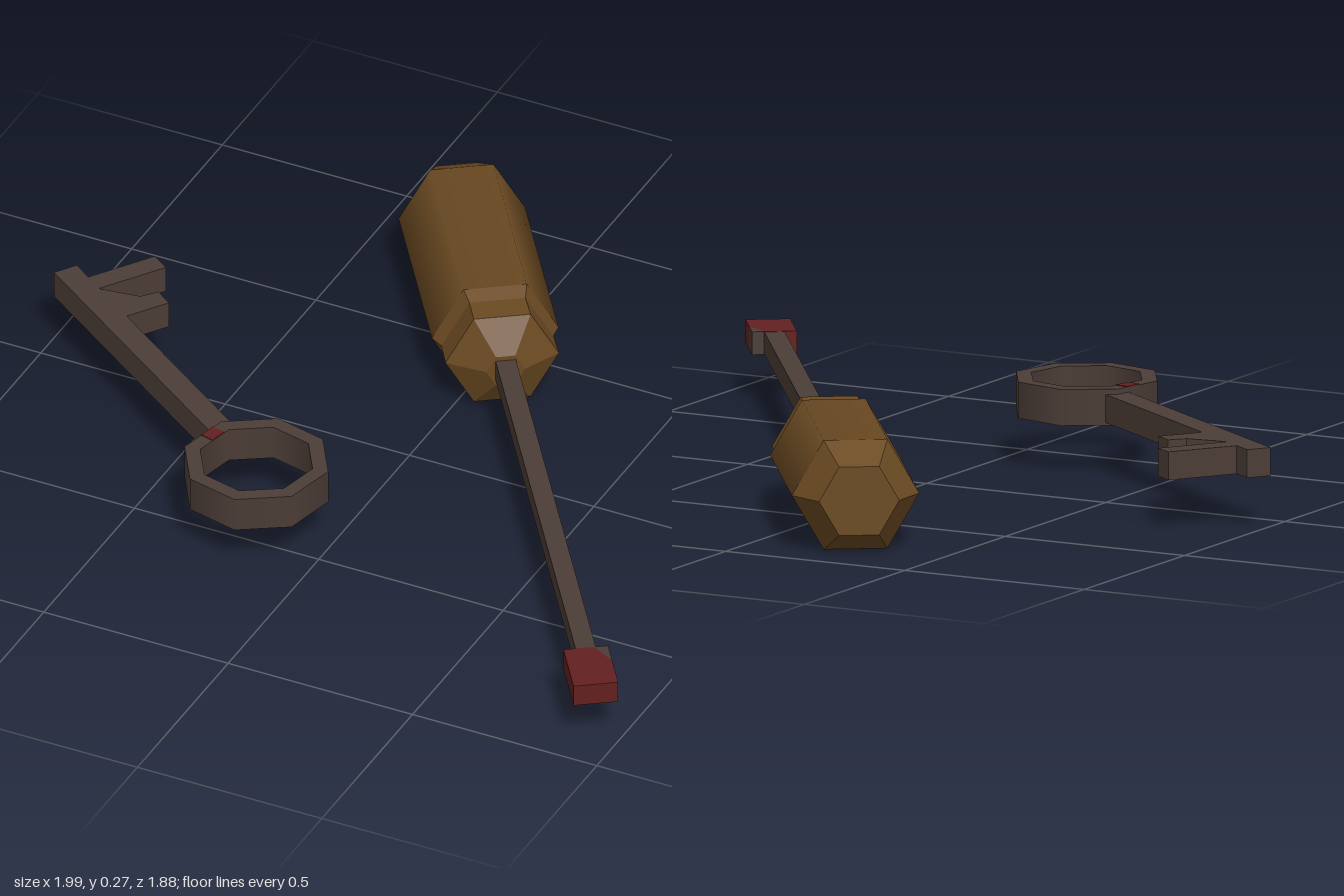
import * as THREE from 'three';

const material = (name, hex, extra = {}) => {
  const m = new THREE.MeshStandardMaterial({ color: hex, ...extra });
  m.name = name;
  return m;
};

export function createModel() {
  const wood = material('handle brown', 0x6b4a22);
  const metal = material('dark metal', 0x4c3d37, { side: THREE.DoubleSide });
  const red = material('dark red', 0x632020);

  const add = (parent, name, geometry, mat) => {
    const mesh = new THREE.Mesh(geometry, mat);
    mesh.name = name;
    parent.add(mesh);
    return mesh;
  };

  // Hexagonal section along z, with corners pointing sideways
  const hexSection = (z0, r0, z1, r1) => new THREE.CylinderGeometry(r1, r0, z1 - z0, 6, 1, true, Math.PI / 2)
    .rotateX(Math.PI / 2).translate(0, 0, (z0 + z1) / 2);
  const hexCap = (z, r, back) => {
    const g = new THREE.CircleGeometry(r, 6);
    if (back) g.rotateY(Math.PI);
    return g.translate(0, 0, z);
  };

  // Flat plate outlined by [x, z] points, centred on y = 0
  const plate = (points, thickness) => new THREE.ExtrudeGeometry(
    new THREE.Shape(points.map(([x, z]) => new THREE.Vector2(x, z))),
    { depth: thickness, bevelEnabled: false },
  ).rotateX(Math.PI / 2).translate(0, thickness / 2, 0);

  const model = new THREE.Group();
  model.name = 'screwdriverAndKey';

  // Screwdriver, running along local z from the back of its handle
  const driver = new THREE.Group();
  driver.name = 'screwdriver';
  driver.position.set(-0.31, 0.14, -0.888);
  driver.rotation.y = 0.613;
  model.add(driver);

  // Handle: smooth grip with faceted ends
  const rings = [[0, 0.098], [0.087, 0.156], [0.61, 0.156], [0.645, 0.138], [0.72, 0.14], [0.775, 0.048]];
  const names = ['handleBackTaper', 'handleGrip', 'handleNeck', 'handleCollar', 'handleFrontTaper'];
  names.forEach((name, i) => {
    let g = hexSection(...rings[i], ...rings[i + 1]);
    if (name !== 'handleGrip') {
      g = g.toNonIndexed();
      g.computeVertexNormals();
    }
    add(driver, name, g, wood);
  });
  add(driver, 'handleBackCap', hexCap(0, 0.098, true), wood);
  add(driver, 'handleFrontCap', hexCap(0.775, 0.048, false), wood);

  // Blade with a red head, one corner of which is bare metal
  add(driver, 'blade', new THREE.BoxGeometry(0.05, 0.055, 1.3).translate(0, 0.002, 1.4), metal);
  add(driver, 'bladeHead', plate([[-0.055, 2.03], [0.02, 2.03], [0.055, 2.095], [0.055, 2.19], [-0.055, 2.19]], 0.057), red)
    .position.y = 0.002;
  add(driver, 'bladeHeadCorner', plate([[0.02, 2.03], [0.055, 2.03], [0.055, 2.095]], 0.057), metal)
    .position.y = 0.002;

  // Key shank and teeth, running along local z from the tip
  const key = new THREE.Group();
  key.name = 'key';
  key.position.set(-0.981, 0.165, -0.096);
  key.rotation.y = 0.963;
  model.add(key);
  add(key, 'keyShankAndTeeth', plate([
    [-0.032, 0], [0.032, 0], [0.032, 0.058], [0.217, 0.058], [0.217, 0.114], [0.03, 0.114],
    [0.102, 0.192], [0.15, 0.197], [0.15, 0.251], [0.032, 0.251], [0.032, 0.81], [-0.032, 0.81],
  ], 0.07), metal);

  // Eight-sided bow of the key
  const bow = new THREE.Group();
  bow.name = 'keyBow';
  bow.position.set(-0.193, 0.168, 0.452);
  model.add(bow);
  const outer = 0.183, inner = 0.143, height = 0.09, turn = 0.16;
  for (const [name, r] of [['bowOuterWall', outer], ['bowInnerWall', inner]]) {
    add(bow, name, new THREE.CylinderGeometry(r, r, height, 8, 1, true, Math.PI / 2 + turn), metal);
  }
  for (const side of [1, -1]) {
    add(bow, side > 0 ? 'bowTop' : 'bowUnderside',
      new THREE.RingGeometry(inner, outer, 8, 1, side * turn)
        .rotateX(-side * Math.PI / 2).translate(0, side * height / 2, 0), metal);
  }

  // Small red patch on the bow beside the shank
  const patch = add(bow, 'bowRedPatch', new THREE.BoxGeometry(0.036, 0.004, 0.045), red);
  patch.position.set(-0.143, height / 2, -0.05);
  patch.rotation.y = -0.23;

  return model;
}
